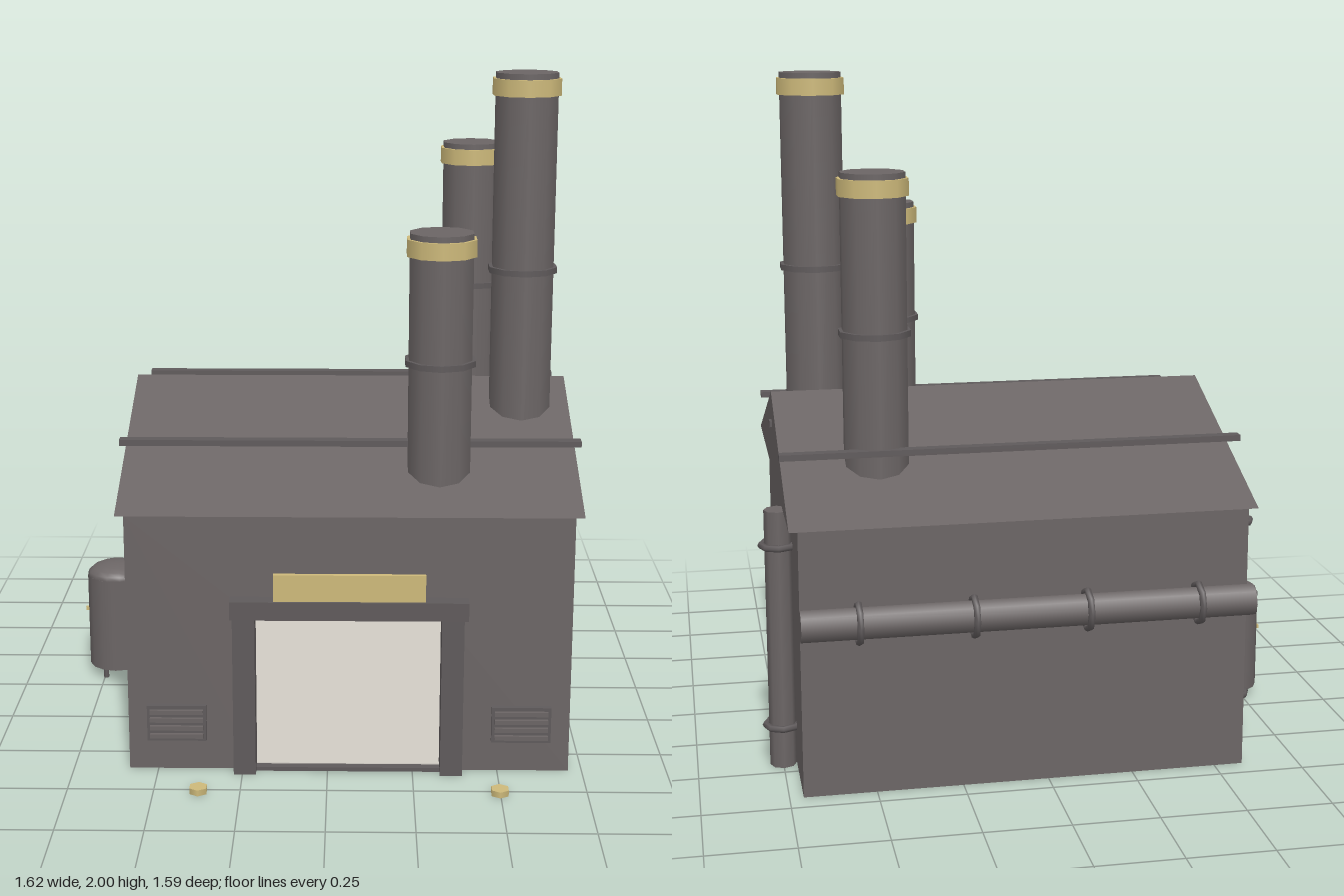
import * as THREE from 'three';

export function createModel() {
  const root = new THREE.Group();
  const mat = (name, color) => {
    const m = new THREE.MeshStandardMaterial({ color });
    m.name = name;
    return m;
  };
  const iron = mat('warm grey', 0x6b6565);
  const trim = mat('dark trim grey', 0x5f5a5b);
  const gold = mat('brass', 0xcdb97a);
  const glow = mat('pale brass', 0xe0cd8c);
  const pale = mat('pale plaster', 0xd0ccc4);

  const add = (name, geo, m, x, y, z, parent = root) => {
    const mesh = new THREE.Mesh(geo, m);
    mesh.name = name;
    mesh.position.set(x, y, z);
    parent.add(mesh);
    return mesh;
  };
  // Box given by its limits
  const box = (name, m, x0, x1, y0, y1, z0, z1) =>
    add(name, new THREE.BoxGeometry(x1 - x0, y1 - y0, z1 - z0), m, (x0 + x1) / 2, (y0 + y1) / 2, (z0 + z1) / 2);
  const cyl = (name, m, r, h, sides, x, y, z, parent) =>
    add(name, new THREE.CylinderGeometry(r, r, h, sides), m, x, y, z, parent);

  const CX = 0.0625, X0 = -0.585, X1 = 0.71, Z0 = -0.685, Z1 = 0.61, H = 0.785, T = 0.03;

  // Hollow hall: floor, three walls and a front wall with a doorway
  box('floorSlab', iron, X0, X1, 0, 0.008, Z0, Z1);
  box('backWall', iron, X0, X1, 0, H, Z0, Z0 + T);
  box('leftWall', iron, X1 - T, X1, 0, H, Z0, Z1);
  box('rightWall', iron, X0, X0 + T, 0, H, Z0, Z1);
  const front = new THREE.Shape([
    [X0, 0], [-0.21, 0], [-0.21, 0.48], [0.33, 0.48], [0.33, 0], [X1, 0], [X1, H], [X0, H],
  ].map(([x, y]) => new THREE.Vector2(x, y)));
  add('frontWall', new THREE.ExtrudeGeometry(front, { depth: T, bevelEnabled: false }), iron, 0, 0, Z1 - T);

  // Pale interior lining
  box('floorLining', pale, X0 + T, X1 - T, 0.008, 0.014, Z0 + T, Z1 - 0.01);
  box('backLining', pale, X0 + T, X1 - T, 0.014, H, Z0 + T, Z0 + T + 0.006);

  // Gabled roof
  const gable = new THREE.Shape([
    new THREE.Vector2(-0.62, H), new THREE.Vector2(0.698, H), new THREE.Vector2(0.035, 1.042),
  ]);
  const roofGeo = new THREE.ExtrudeGeometry(gable, { depth: 1.345, bevelEnabled: false });
  roofGeo.rotateY(Math.PI / 2);
  add('roof', roofGeo, iron, -0.61, 0, 0);

  // Long rails across the roof
  for (const z of [0.395, -0.038, -0.475])
    box('roofRail', trim, -0.617, 0.743, 0.935, 0.953, z - 0.017, z + 0.017);

  // Chimneys with brass bands
  for (const [x, z, top, ringY] of [[0.325, 0.395, 1.57, 1.19], [0.585, 0.09, 2, 1.41], [0.455, -0.39, 1.74, 1.28]]) {
    const g = new THREE.Group();
    g.name = 'chimney';
    g.position.set(x, 0, z);
    root.add(g);
    cyl('chimneyShaft', iron, 0.096, top - 0.8, 10, 0, (top + 0.8) / 2, 0, g);
    cyl('chimneyBand', gold, 0.105, 0.05, 10, 0, top - 0.042, 0, g);
    cyl('chimneyRing', trim, 0.107, 0.018, 10, 0, ringY, 0, g);
  }

  // Pipe along local y with clamp rings at the given heights
  const pipe = (name, r, length, ringR, clamps) => {
    const g = new THREE.Group();
    g.name = name;
    cyl('pipeTube', iron, r, length, 8, 0, 0, 0, g);
    for (const y of clamps)
      add('pipeClamp', new THREE.TorusGeometry(ringR, 0.01, 6, 8), trim, 0, y, 0, g).rotation.x = Math.PI / 2;
    root.add(g);
    return g;
  };
  for (const s of [-1, 1])
    pipe('sidePipe', 0.039, 0.78, 0.049, [0.285, -0.265]).position.set(CX + s * 0.687, 0.39, -0.432);
  const back = pipe('backPipe', 0.047, 1.3, 0.056, [-0.4875, -0.1625, 0.1625, 0.4875]);
  back.rotation.z = Math.PI / 2;
  back.position.set(CX, 0.525, -0.733);

  // Domed tank on three legs
  const tank = new THREE.Group();
  tank.name = 'tank';
  tank.position.set(-0.71, 0, -0.127);
  root.add(tank);
  cyl('tankBody', iron, 0.094, 0.31, 14, 0, 0.19, 0, tank);
  add('tankDome', new THREE.SphereGeometry(0.094, 14, 5, 0, Math.PI * 2, 0, Math.PI / 2), iron, 0, 0.345, 0, tank).scale.y = 0.43;
  for (let i = 0; i < 3; i++) {
    const a = i * Math.PI * 2 / 3;
    cyl('tankLeg', trim, 0.009, 0.04, 6, 0.07 * Math.cos(a), 0.02, 0.07 * Math.sin(a), tank);
  }
  add('tankPin', new THREE.BoxGeometry(0.208, 0.012, 0.012), gold, 0, 0.22, 0, tank);

  // Doorway frame, threshold and sign board
  box('leftDoorPost', trim, 0.33, 0.395, 0, 0.485, Z1 - 0.01, 0.652);
  box('rightDoorPost', trim, -0.275, -0.21, 0, 0.485, Z1 - 0.01, 0.652);
  box('doorLintel', trim, -0.282, 0.407, 0.485, 0.54, Z1 - 0.01, 0.658);
  box('threshold', trim, -0.21, 0.33, 0, 0.012, Z1 - 0.02, 0.625);
  box('signBoard', gold, -0.155, 0.283, 0.54, 0.62, 0.635, 0.65);

  // Louvred vents either side of the door
  for (const s of [-1, 1]) {
    const x = CX + s * 0.505;
    box('ventPlate', trim, x - 0.087, x + 0.087, 0.095, 0.205, Z1, 0.626);
    for (let i = 0; i < 4; i++)
      box('ventSlat', iron, x - 0.078, x + 0.078, 0.106 + i * 0.025, 0.119 + i * 0.025, 0.62, 0.636);
  }

  // Interior fittings on the rear wall
  const zb = Z0 + T + 0.006;
  box('panelFrame', trim, -0.12, 0.247, 0.257, 0.417, zb, zb + 0.02);
  box('panelFace', gold, -0.11, 0.237, 0.267, 0.407, zb + 0.02, zb + 0.026);
  box('rearBench', glow, -0.5, 0.62, 0.09, 0.145, zb, zb + 0.15);
  box('rearBenchTop', trim, -0.5, 0.62, 0.145, 0.153, zb, zb + 0.155);
  box('rearSkirting', gold, -0.5, 0.62, 0.016, 0.028, zb, zb + 0.01);
  for (const x of [-0.135, 0.26]) {
    cyl('lampCap', trim, 0.01, 0.015, 6, x, 0.246, zb + 0.08);
    cyl('lampGlass', gold, 0.02, 0.03, 6, x, 0.224, zb + 0.08);
    add('lampTip', new THREE.ConeGeometry(0.02, 0.025, 6), gold, x, 0.197, zb + 0.08).rotation.x = Math.PI;
    box('lampFoot', gold, x - 0.018, x + 0.018, 0.153, 0.163, zb + 0.06, zb + 0.1);
  }
  cyl('nozzle', trim, 0.02, 0.045, 8, CX, 0.243, zb + 0.08);
  add('nozzleTip', new THREE.ConeGeometry(0.02, 0.025, 8), trim, CX, 0.209, zb + 0.08).rotation.x = Math.PI;
  cyl('barrel', trim, 0.05, 0.11, 10, -0.49, 0.07, 0.0);
  cyl('barrelBand', gold, 0.053, 0.012, 10, -0.49, 0.07, 0.0);

  // Brass ground studs in front of the door
  for (const x of [-0.37, 0.498]) cyl('groundStud', gold, 0.028, 0.018, 6, x, 0.009, 0.765);

  return root;
}
